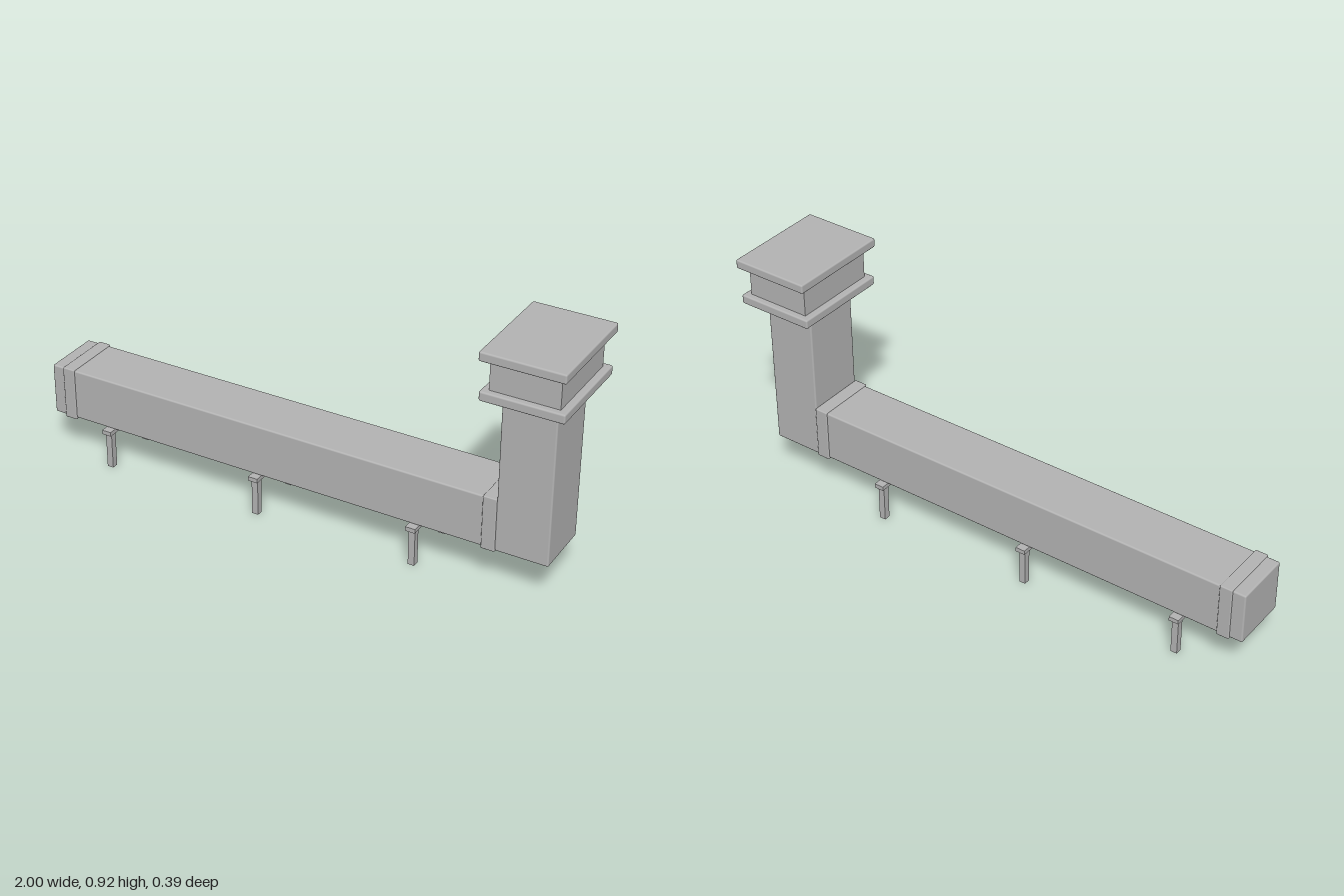
import * as THREE from 'three';
import { RoundedBoxGeometry } from 'three/addons/geometries/RoundedBoxGeometry.js';

export function createModel() {
  const model = new THREE.Group();
  const metal = new THREE.MeshStandardMaterial({ color: 0xb4b4b4 });

  // Box from its extents in x and y, and its half depth; r rounds the edges
  function box(name, x0, x1, y0, y1, halfZ, r = 0, parent = model, z = 0) {
    const w = x1 - x0, h = y1 - y0, d = halfZ * 2;
    const geometry = r
      ? new RoundedBoxGeometry(w, h, d, 2, r)
      : new THREE.BoxGeometry(w, h, d);
    const mesh = new THREE.Mesh(geometry, metal);
    mesh.name = name;
    mesh.position.set((x0 + x1) / 2, (y0 + y1) / 2, z);
    parent.add(mesh);
    return mesh;
  }

  // Long horizontal duct with a joint collar near each end
  box('horizontalDuct', -1, 0.765, 0.153, 0.345, 0.108, 0.006);
  box('endCollar', -0.953, -0.906, 0.147, 0.349, 0.113, 0.004);
  box('elbowCollar', 0.706, 0.756, 0.147, 0.349, 0.113, 0.004);

  // Upright duct
  box('verticalDuct', 0.755, 0.946, 0.151, 0.737, 0.109, 0.006);

  // Vent head: lower plate, neck and cap
  box('ventLowerPlate', 0.706, 0.998, 0.735, 0.769, 0.182, 0.006);
  box('ventNeck', 0.731, 0.973, 0.765, 0.885, 0.159);
  box('ventCap', 0.706, 1.0, 0.881, 0.915, 0.195, 0.006);

  // Three floor supports, each a crossbar on two legs
  for (const x of [-0.76, -0.15, 0.46]) {
    const support = new THREE.Group();
    support.name = 'floorSupport';
    model.add(support);
    box('crossbar', x - 0.018, x + 0.018, 0.138, 0.154, 0.135, 0, support);
    for (const side of [-1, 1]) {
      box('supportLeg', x - 0.012, x + 0.012, 0, 0.14, 0.012, 0, support, side * 0.11);
    }
  }
  return model;
}
